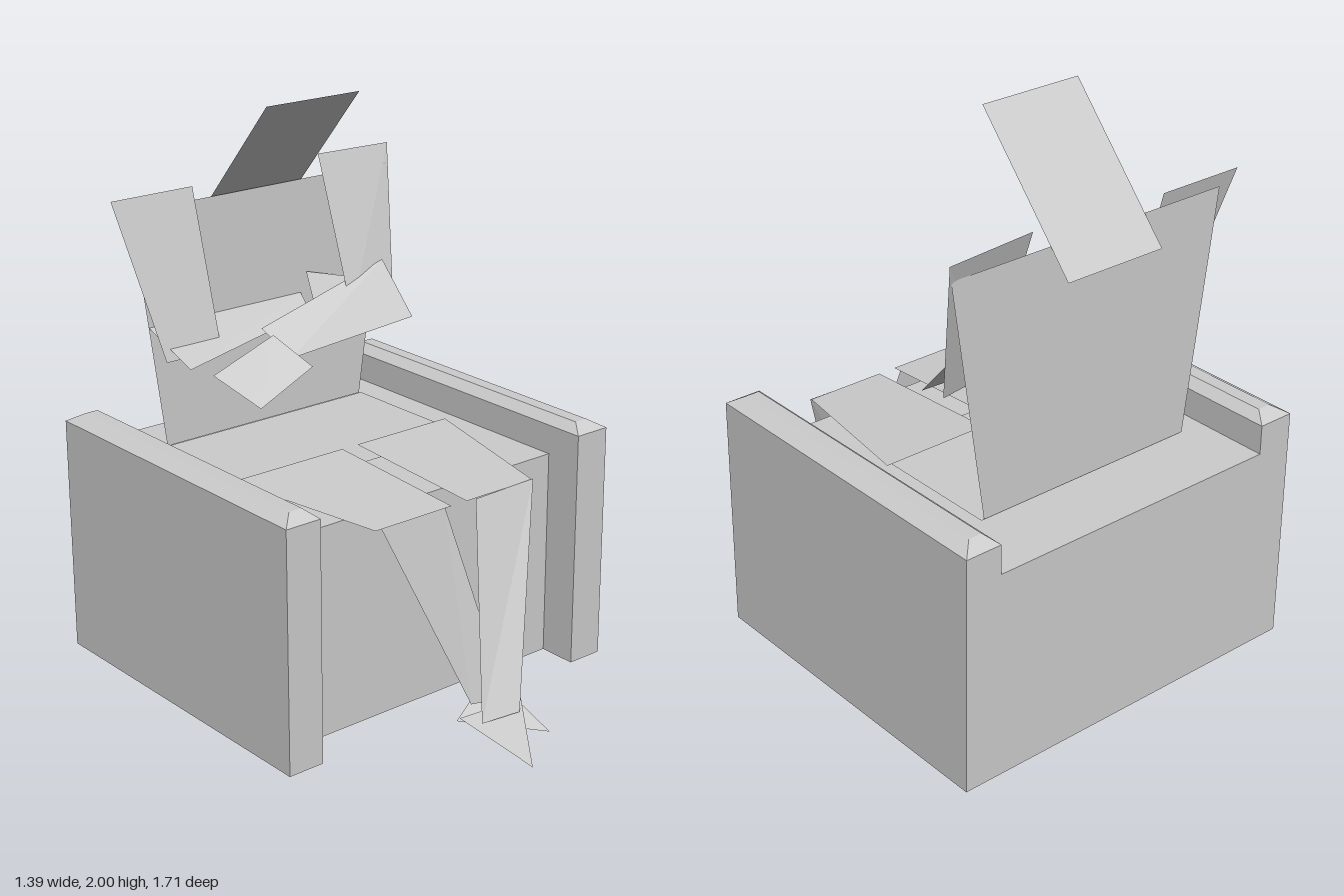
import * as THREE from 'three';

const material = new THREE.MeshStandardMaterial({ color: 0xcccccc, flatShading: true, side: THREE.DoubleSide });

// Flat-shaded mesh made of convex polygons, each a loop of [x, y, z] corners
function panels(name, ...polygons) {
  const positions = [];
  for (const p of polygons) {
    for (let i = 1; i < p.length - 1; i++) positions.push(...p[0], ...p[i], ...p[i + 1]);
  }
  const geometry = new THREE.BufferGeometry();
  geometry.setAttribute('position', new THREE.Float32BufferAttribute(positions, 3));
  geometry.computeVertexNormals();
  const mesh = new THREE.Mesh(geometry, material);
  mesh.name = name;
  return mesh;
}

// Main chair measures
const BASE = 0.015, SEAT = 0.765, RIM = 0.87, TOP = 0.9;
const BACK = -0.86, SEAT_FRONT = 0.25, FRONT = 0.39;
const OUT = 0.695, IN = 0.56, BEVEL = 0.05;

// Upright wall across two floor points
const wall = ([xa, za], [xb, zb], y0, y1) => [[xa, y0, za], [xb, y0, zb], [xb, y1, zb], [xa, y1, za]];

// Hollow armrest with a hipped top; s is the side
function armrest(name, s) {
  const rim = [[OUT, BACK], [OUT, FRONT], [IN, FRONT], [IN, BACK]].map(([x, z]) => [s * x, z]);
  const ridge = [
    [OUT - BEVEL, BACK + BEVEL], [OUT - BEVEL, FRONT - BEVEL],
    [IN + BEVEL - 0.015, FRONT - BEVEL], [IN + BEVEL - 0.015, BACK + BEVEL],
  ].map(([x, z]) => [s * x, z]);
  const at = ([x, z], y) => [x, y, z];
  const faces = [
    wall(rim[0], rim[1], BASE, RIM),
    wall(rim[1], rim[2], BASE, RIM),
    wall(rim[2], [s * IN, SEAT_FRONT], BASE, RIM),
    wall([s * IN, SEAT_FRONT], rim[3], SEAT, RIM),
    wall(rim[3], rim[0], BASE, RIM),
    ridge.map((p) => at(p, TOP)),
    // closed underside of the front post
    [[s * OUT, BASE, SEAT_FRONT], [s * OUT, BASE, FRONT], [s * IN, BASE, FRONT], [s * IN, BASE, SEAT_FRONT]],
  ];
  for (let i = 0; i < 4; i++) {
    const j = (i + 1) % 4;
    faces.push([at(rim[i], RIM), at(rim[j], RIM), at(ridge[j], TOP), at(ridge[i], TOP)]);
  }
  return panels(name, ...faces);
}

function createChair() {
  const chair = new THREE.Group();
  chair.name = 'armchair';
  chair.add(
    armrest('leftArmrest', 1),
    armrest('rightArmrest', -1),
    panels('seat', [[-IN, SEAT, BACK], [-IN, SEAT, SEAT_FRONT], [IN, SEAT, SEAT_FRONT], [IN, SEAT, BACK]]),
    panels('seatFront', wall([-IN, SEAT_FRONT], [IN, SEAT_FRONT], BASE, SEAT)),
    panels('seatBack', wall([IN, BACK], [-IN, BACK], BASE, SEAT)),
  );
  return chair;
}

// Seated figure folded from single flat sheets, arms and legs crossed
function createFigure() {
  const figure = new THREE.Group();
  figure.name = 'seatedFigure';
  const sheets = {
    head: [[-0.222, 1.55, -0.7], [0.167, 1.55, -0.7], [0.167, 2, -0.3], [-0.222, 2, -0.3]],
    torso: [[-0.44, 0.786, -0.615], [0.42, 0.786, -0.615], [0.55, 1.64, -0.615], [-0.555, 1.64, -0.615]],
    pelvis: [[-0.435, 0.785, -0.06], [0.43, 0.785, -0.06], [0.43, 0.785, -0.615], [-0.435, 0.785, -0.615]],

    rightUpperArm: [[-0.525, 1.145, -0.475], [-0.3, 1.145, -0.475], [-0.3, 1.687, -0.62], [-0.627, 1.687, -0.62]],
    leftUpperArm: [[0.245, 1.17, -0.44], [0.46, 1.165, -0.467], [0.575, 1.705, -0.64], [0.245, 1.715, -0.625]],
    rightForearm: [[-0.505, 1.145, -0.365], [0.11, 1.19, -0.505], [0.15, 1.228, -0.612], [-0.5, 1.228, -0.612]],
    leftForearm: [[-0.108, 1.108, -0.333], [0.45, 1.14, -0.35], [0.44, 1.32, -0.505], [-0.14, 1.19, -0.46]],
    rightHand: [[0.105, 1.145, -0.445], [0.35, 1.145, -0.52], [0.4, 1.24, -0.595], [0.167, 1.305, -0.6]],
    leftHand: [[-0.338, 1.013, -0.205], [-0.108, 1.108, -0.217], [-0.15, 1.188, -0.38], [-0.383, 1.085, -0.41]],

    rightThigh: [[-0.335, 0.765, 0.385], [-0.012, 0.765, 0.385], [-0.012, 0.797, -0.18], [-0.48, 0.797, -0.18]],
    leftThigh: [[0.055, 0.765, 0.385], [0.35, 0.765, 0.385], [0.46, 0.797, -0.18], [0.055, 0.797, -0.18]],
    rightShin: [[0.02, 0.06, 0.46], [0.155, 0.055, 0.49], [-0.025, 0.762, 0.365], [-0.29, 0.762, 0.35]],
    leftShin: [[-0.075, 0.085, 0.617], [0.07, 0.09, 0.642], [0.355, 0.767, 0.385], [0.095, 0.762, 0.385]],
    rightFoot: [[-0.035, 0.012, 0.45], [0.165, 0.003, 0.69], [0.165, 0.105, 0.39]],
    leftFoot: [[-0.1, 0.08, 0.535], [-0.065, 0.02, 0.848], [0.12, 0.105, 0.595]],
  };
  for (const [name, corners] of Object.entries(sheets)) figure.add(panels(name, corners));
  return figure;
}

export function createModel() {
  const model = new THREE.Group();
  model.name = 'figureInArmchair';
  model.add(createChair(), createFigure());
  return model;
}
